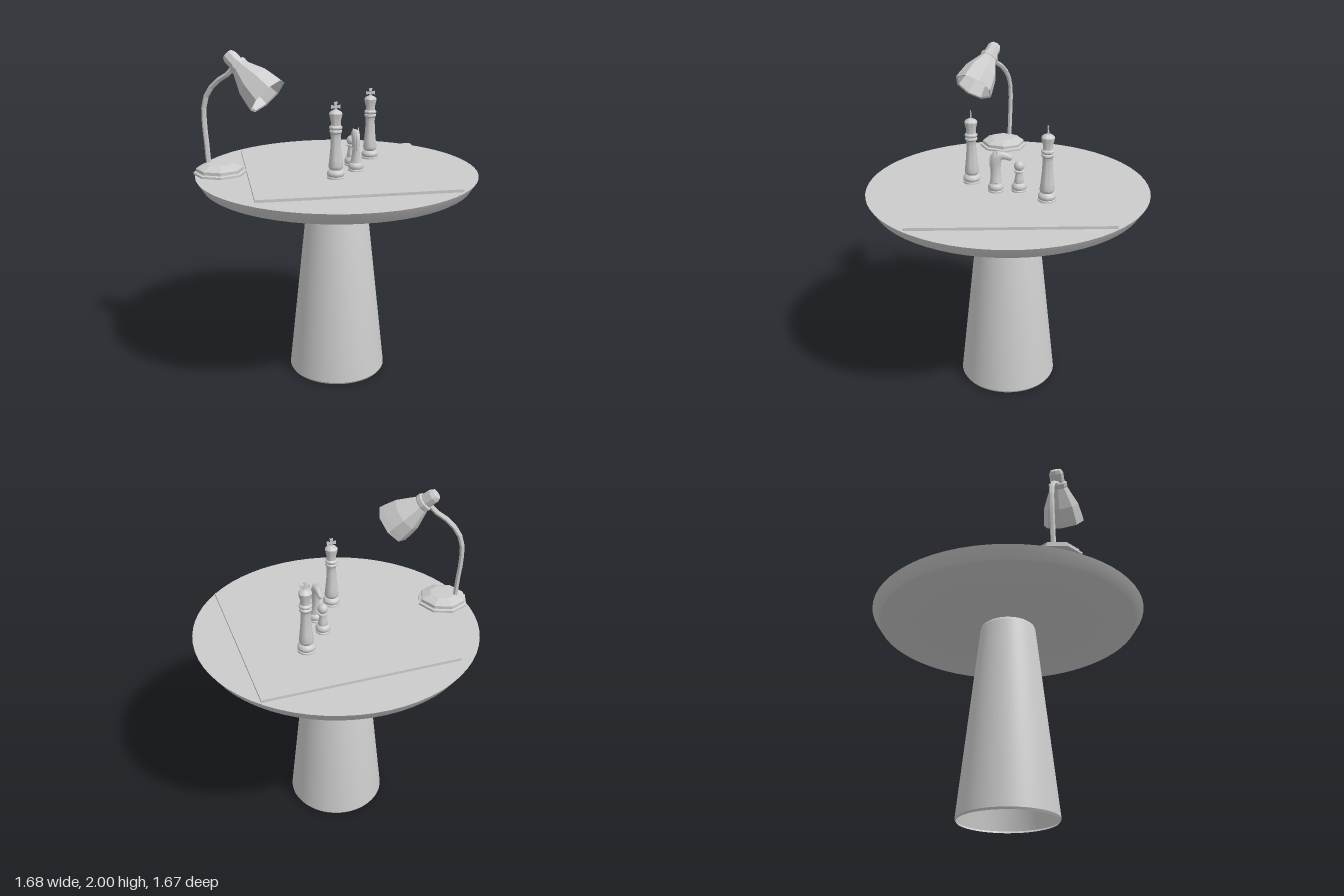
import * as THREE from 'three';
import { toCreasedNormals } from 'three/addons/utils/BufferGeometryUtils.js';

const smooth = new THREE.MeshStandardMaterial({ color: 0xcccccc });
const open = new THREE.MeshStandardMaterial({ color: 0xcccccc, side: THREE.DoubleSide });
const faceted = new THREE.MeshStandardMaterial({ color: 0xcccccc, flatShading: true });
const facetedOpen = new THREE.MeshStandardMaterial({ color: 0xcccccc, flatShading: true, side: THREE.DoubleSide });

function add(parent, name, geometry, material = smooth) {
  const mesh = new THREE.Mesh(geometry, material);
  mesh.name = name;
  parent.add(mesh);
  return mesh;
}

function group(parent, name, x, y, z) {
  const g = new THREE.Group();
  g.name = name;
  g.position.set(x, y, z);
  parent.add(g);
  return g;
}

// Profile of [radius, height] pairs, listed upwards
function lathe(profile, sides, crease = 0.6) {
  const geometry = new THREE.LatheGeometry(profile.map(([r, y]) => new THREE.Vector2(r, y)), sides);
  return toCreasedNormals(geometry, crease);
}

// Elliptical rings [y, z, depth radius, width radius, forward tilt]
function loft(rings, sides) {
  const positions = [], index = [];
  for (const [y, z, rd, rx, t] of rings) {
    for (let i = 0; i < sides; i++) {
      const a = (i / sides) * Math.PI * 2, d = rd * Math.cos(a);
      positions.push(rx * Math.sin(a), y + d * Math.sin(t), z + d * Math.cos(t));
    }
  }
  for (let j = 0; j < rings.length - 1; j++) {
    for (let i = 0; i < sides; i++) {
      const a = j * sides + i, b = j * sides + (i + 1) % sides;
      index.push(a, b, a + sides, b, b + sides, a + sides);
    }
  }
  const geometry = new THREE.BufferGeometry();
  geometry.setAttribute('position', new THREE.Float32BufferAttribute(positions, 3));
  geometry.setIndex(index);
  geometry.computeVertexNormals();
  return geometry;
}

// Foot shared by all the chess pieces
const foot = (r) => [[0, 0], [r, 0], [r, 0.008], [r * 0.9, 0.012], [r, 0.02], [r, 0.032], [r * 0.85, 0.044], [r * 0.65, 0.05]];

function addKing(parent, x, z) {
  const king = group(parent, 'king', x, 1.292, z);
  add(king, 'kingBody', lathe([
    ...foot(0.051), [0.04, 0.058], [0.042, 0.07], [0.037, 0.11], [0.031, 0.17], [0.028, 0.23], [0.029, 0.255],
    [0.036, 0.265], [0.036, 0.273], [0.03, 0.279], [0.037, 0.287], [0.037, 0.295], [0.028, 0.303],
    [0.028, 0.325], [0.036, 0.358], [0.038, 0.37], [0.03, 0.381], [0.012, 0.39], [0, 0.392],
  ], 24));

  // Cross with four flared arms
  const shape = new THREE.Shape();
  for (let i = 0; i < 4; i++) {
    for (const [r, w] of [[0.006, -0.005], [0.027, -0.011], [0.027, 0.011]]) {
      const a = (i * Math.PI) / 2;
      const px = r * Math.cos(a) - w * Math.sin(a), py = r * Math.sin(a) + w * Math.cos(a);
      if (i + px === 0) continue;
      if (shape.curves.length || shape.currentPoint.lengthSq() > 0) shape.lineTo(px, py);
      else shape.moveTo(px, py);
    }
  }
  shape.closePath();
  const cross = add(king, 'kingCross', new THREE.ExtrudeGeometry(shape, { depth: 0.007, bevelEnabled: false }));
  cross.position.set(0, 0.407, -0.0035);
}

function addPawn(parent, x, z) {
  const pawn = group(parent, 'pawn', x, 1.292, z);
  add(pawn, 'pawnBody', lathe([
    ...foot(0.043), [0.029, 0.058], [0.024, 0.08], [0.02, 0.108], [0.021, 0.114],
    [0.03, 0.118], [0.03, 0.124], [0.016, 0.13], [0, 0.13],
  ], 24));
  add(pawn, 'pawnHead', new THREE.SphereGeometry(0.03, 20, 14)).position.y = 0.151;
}

function addKnight(parent, x, z) {
  const knight = group(parent, 'knight', x, 1.292, z);
  add(knight, 'knightFoot', lathe([...foot(0.045), [0.033, 0.056], [0, 0.056]], 24));
  add(knight, 'knightHead', loft([
    [0.05, 0, 0.036, 0.034, 0], [0.085, 0, 0.03, 0.025, 0], [0.125, 0.001, 0.028, 0.021, 0],
    [0.165, 0.001, 0.031, 0.023, 0.15], [0.2, -0.003, 0.034, 0.025, 0.5], [0.218, -0.017, 0.029, 0.024, 1],
    [0.216, -0.043, 0.023, 0.017, 1.6], [0.207, -0.066, 0.018, 0.014, 1.85], [0.2, -0.082, 0.018, 0.014, 1.9],
    [0.197, -0.092, 0.011, 0.009, 1.9], [0.196, -0.094, 0, 0, 1.9],
  ], 16));
  for (const side of [-1, 1]) {
    const ear = add(knight, 'knightEar', new THREE.ConeGeometry(0.009, 0.034, 8));
    ear.position.set(side * 0.015, 0.24, -0.008);
    ear.rotation.z = -side * 0.12;
  }
  // Mane ridge down the back of the neck
  const mane = new THREE.CatmullRomCurve3([[0.234, 0.008], [0.205, 0.028], [0.165, 0.03], [0.12, 0.026]]
    .map(([y, mz]) => new THREE.Vector3(0, y, mz)));
  add(knight, 'knightMane', new THREE.TubeGeometry(mane, 10, 0.006, 6));
}

function addLamp(parent) {
  const heading = 0.607;
  const lamp = group(parent, 'lamp', -0.69, 0, 0.015);
  lamp.rotation.y = -heading;

  // Stepped octagonal base
  const base = add(lamp, 'lampBase', lathe([
    [0, 1.297], [0.153, 1.297], [0.153, 1.309], [0.137, 1.314], [0.137, 1.332], [0.125, 1.338], [0.078, 1.356], [0, 1.358],
  ], 8), faceted);
  base.rotation.y = heading;

  // Bent arm
  const arm = new THREE.CatmullRomCurve3([
    [-0.075, 1.34], [-0.083, 1.48], [-0.091, 1.6], [-0.078, 1.72], [-0.005, 1.82], [0.065, 1.86], [0.125, 1.915],
  ].map(([x, y]) => new THREE.Vector3(x, y, 0)));
  add(lamp, 'lampArm', new THREE.TubeGeometry(arm, 10, 0.015, 6), faceted);

  // Tilted head, running down its own axis from the cap
  const head = group(lamp, 'lampHead', 0.085, 1.98, 0);
  head.rotation.z = 0.85;
  add(head, 'lampCap', lathe([
    [0, -0.115], [0.05, -0.115], [0.056, -0.1], [0.056, -0.078], [0.043, -0.074], [0.043, -0.02], [0.033, 0], [0, 0.003],
  ], 8), faceted);
  add(head, 'lampShade', lathe([
    [0.04, -0.11], [0.092, -0.215], [0.113, -0.32], [0.124, -0.325], [0.119, -0.29], [0.104, -0.215], [0.05, -0.1],
  ], 8), facetedOpen);
}

export function createModel() {
  const model = new THREE.Group();
  model.name = 'chessTable';

  // Hollow tapered leg, open at the floor
  add(model, 'tableLeg', lathe([[0.29, 0], [0.297, 0.012], [0.17, 1.18], [0.165, 1.195], [0.155, 1.203]], 64), open);
  add(model, 'tableTop', lathe([[0, 1.203], [0.78, 1.203], [0.795, 1.212], [0.835, 1.275], [0, 1.275]], 64));
  add(model, 'chessBoard', new THREE.BoxGeometry(1.135, 0.017, 1.13)).position.set(0.033, 1.2825, 0);

  addKing(model, -0.045, 0.213);
  addKing(model, 0.247, -0.213);
  addKnight(model, 0.1, 0.072);
  addPawn(model, 0.1, -0.062);
  addLamp(model);
  return model;
}
